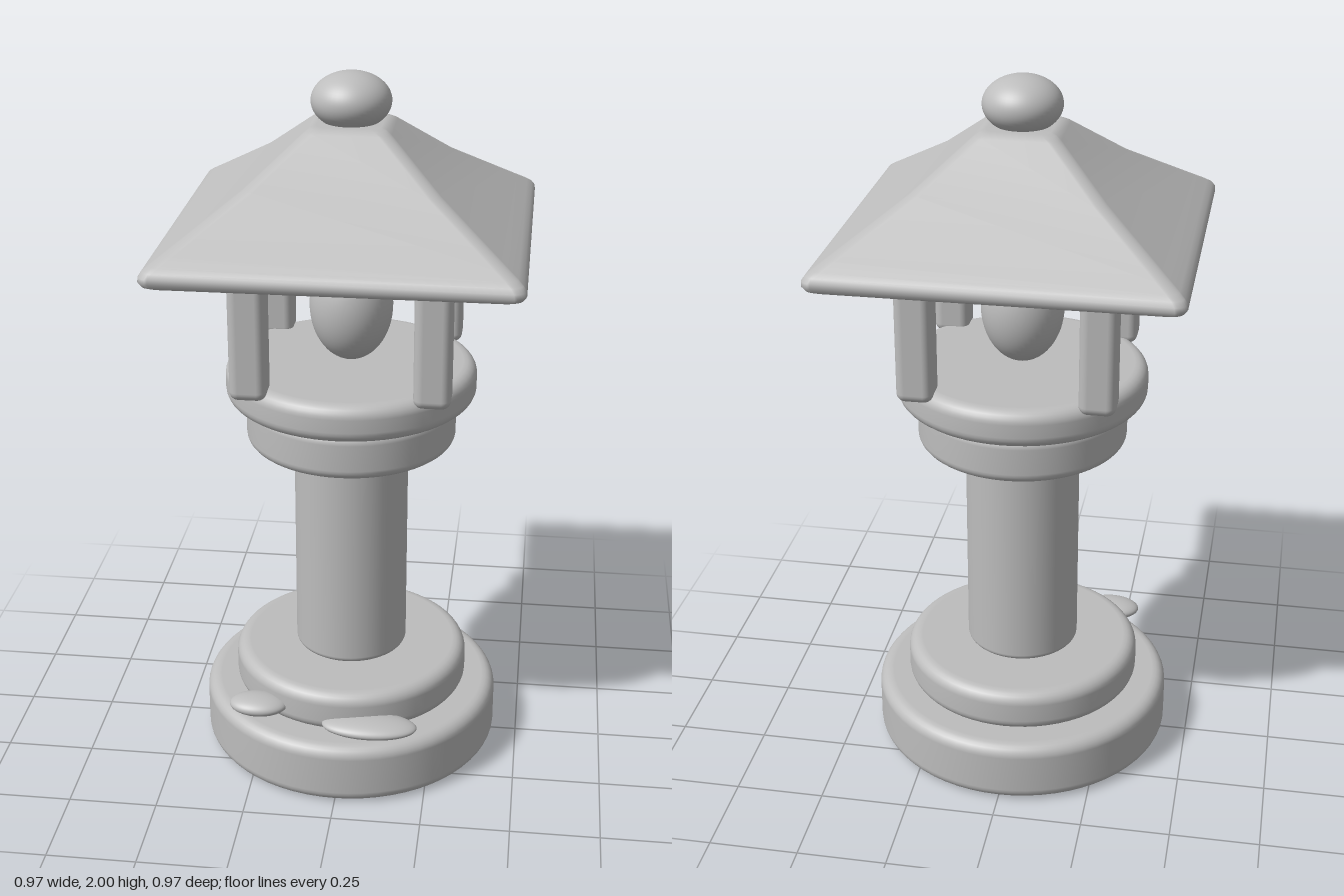
import * as THREE from 'three';
import { RoundedBoxGeometry } from 'three/addons/geometries/RoundedBoxGeometry.js';

export function createModel() {
  const model = new THREE.Group();
  model.name = 'stoneLantern';
  const stone = new THREE.MeshStandardMaterial({ color: 0xbdbdbd });
  stone.name = 'grey stone';

  function add(name, geometry, x = 0, y = 0, z = 0) {
    const mesh = new THREE.Mesh(geometry, stone);
    mesh.name = name;
    mesh.position.set(x, y, z);
    model.add(mesh);
    return mesh;
  }

  // Round slab with rounded rims, turned on a lathe
  function slab(name, radius, y0, y1, bevel) {
    const points = [[0, y0], [radius - bevel - 0.004, y0]];
    for (const [cy, start] of [[y0 + bevel, -Math.PI / 2], [y1 - bevel, 0]]) {
      for (let i = 0; i <= 6; i++) {
        const a = start + (i / 6) * Math.PI / 2;
        points.push([radius - bevel + bevel * Math.cos(a), cy + bevel * Math.sin(a)]);
      }
    }
    points.push([radius - bevel - 0.004, y1], [0, y1]);
    add(name, new THREE.LatheGeometry(points.map(p => new THREE.Vector2(...p)), 64));
  }

  function ellipsoid(name, rx, ry, rz, x, y, z) {
    return add(name, new THREE.SphereGeometry(1, 48, 32).scale(rx, ry, rz), x, y, z);
  }

  // Pyramid roof: rounded-square rings stacked along a profile of [half width, height]
  function roofGeometry() {
    const profile = [[0, 1.545], [0.45, 1.545], [0.462, 1.546], [0.476, 1.553], [0.483, 1.565],
      [0.482, 1.578], [0.474, 1.59], [0.46, 1.601], [0.43, 1.621], [0.254, 1.74],
      [0.115, 1.857], [0.1, 1.866], [0.085, 1.87], [0, 1.87]];
    const steps = 6, ring = 4 * (steps + 1);
    const positions = [], index = [];
    profile.forEach(([half, y]) => {
      const r = Math.min(0.03, half * 0.3);
      for (let k = 0; k < 4; k++) {
        const mid = (k + 0.5) * Math.PI / 2;
        for (let i = 0; i <= steps; i++) {
          const a = (k + i / steps) * Math.PI / 2;
          positions.push(Math.sign(Math.sin(mid)) * (half - r) + r * Math.sin(a), y,
            Math.sign(Math.cos(mid)) * (half - r) + r * Math.cos(a));
        }
      }
    });
    for (let j = 0; j < profile.length - 1; j++) {
      for (let i = 0; i < ring; i++) {
        const a = j * ring + i, b = j * ring + (i + 1) % ring;
        index.push(a, b, a + ring, b, b + ring, a + ring);
      }
    }
    const geometry = new THREE.BufferGeometry();
    geometry.setAttribute('position', new THREE.Float32BufferAttribute(positions, 3));
    geometry.setIndex(index);
    geometry.computeVertexNormals();
    return geometry;
  }

  // Stepped base, column and stepped platform
  slab('base', 0.43, 0.005, 0.185, 0.035);
  slab('baseStep', 0.34, 0.18, 0.302, 0.035);
  slab('column', 0.162, 0.302, 0.97, 0.018);
  slab('platformLower', 0.295, 0.957, 1.092, 0.03);
  slab('platformUpper', 0.35, 1.09, 1.197, 0.035);

  // Four corner posts
  for (const sx of [-1, 1]) {
    for (const sz of [-1, 1]) {
      add('post', new RoundedBoxGeometry(0.1, 0.39, 0.1, 4, 0.025), sx * 0.245, 1.37, sz * 0.245);
    }
  }

  // Light, roof and finial
  ellipsoid('light', 0.115, 0.158, 0.115, 0, 1.358, 0);
  add('roof', roofGeometry());
  ellipsoid('finial', 0.107, 0.076, 0.107, 0, 1.924, 0);

  // Flat lumps lying against the base step
  ellipsoid('mossLeft', 0.135, 0.025, 0.062, 0.09, 0.212, 0.338);
  ellipsoid('mossRight', 0.083, 0.027, 0.055, -0.235, 0.231, 0.29);

  return model;
}
